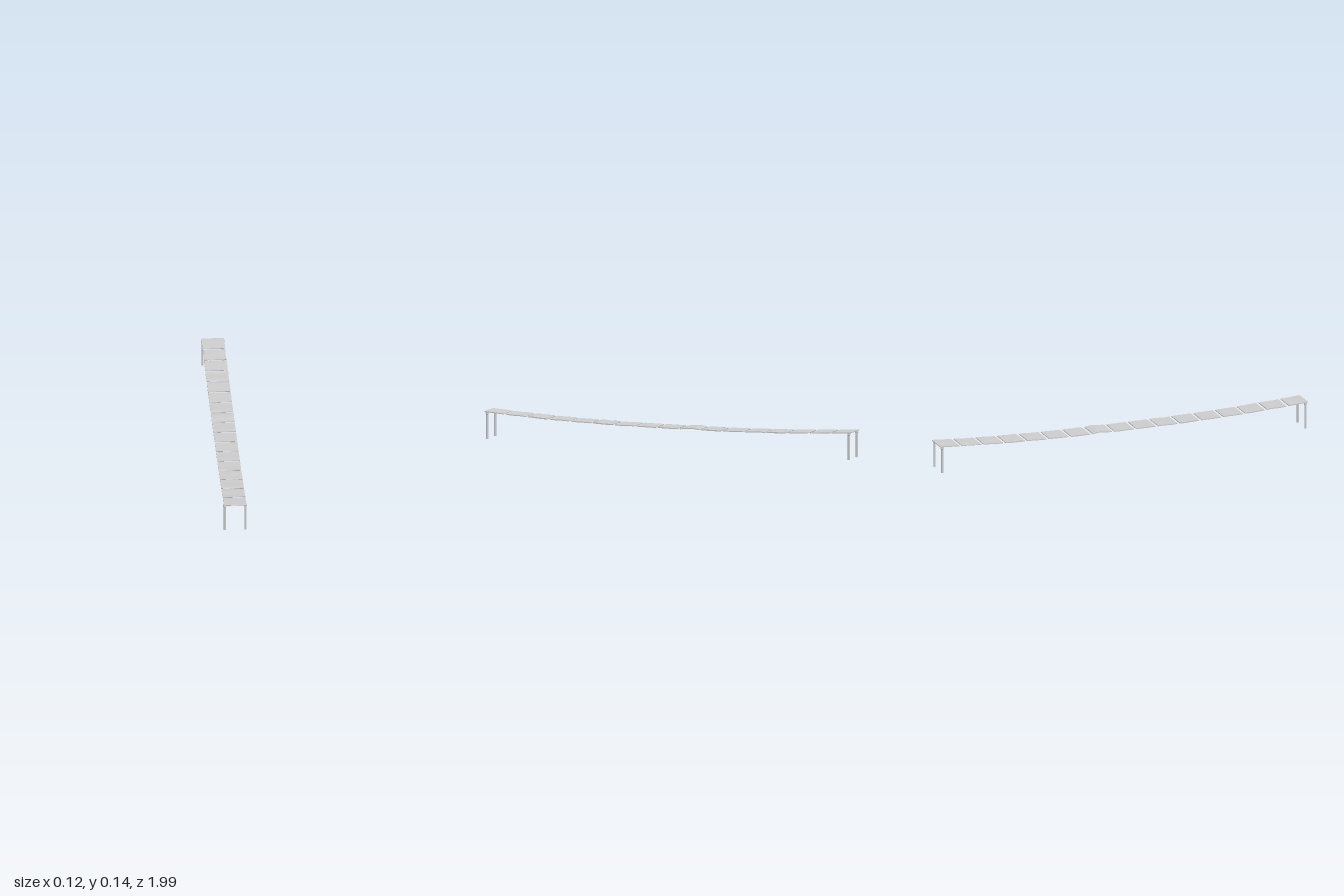
import * as THREE from 'three';
import { toCreasedNormals } from 'three/addons/utils/BufferGeometryUtils.js';

const COUNT = 17, PITCH = 0.1178, LENGTH = 0.105, WIDTH = 0.114, THICK = 0.005;
const material = new THREE.MeshStandardMaterial({ color: 0xcccccc });

// Height of the hanging deck at a given z
const sag = (z) => 0.1085 + 0.031 * Math.pow(Math.abs(z), 2.4);

function add(parent, name, geometry, x = 0, y = 0, z = 0) {
  const mesh = new THREE.Mesh(geometry, material);
  mesh.name = name;
  mesh.position.set(x, y, z);
  parent.add(mesh);
  return mesh;
}

// A thin board following the sag, with a slight warp along its length
function plankGeometry(zc, warp, arch, pinch) {
  const h = THICK / 2, r = 0.0018, l = LENGTH / 2;
  const profile = new THREE.Shape();
  profile.moveTo(-l + r, -h);
  for (let k = 0; k <= 12; k++) profile.lineTo(-l + r + (2 * (l - r) * k) / 12, -h);
  profile.quadraticCurveTo(l, -h, l, 0);
  profile.quadraticCurveTo(l, h, l - r, h);
  for (let k = 1; k <= 12; k++) profile.lineTo(l - r - (2 * (l - r) * k) / 12, h);
  profile.quadraticCurveTo(-l, h, -l, 0);
  profile.quadraticCurveTo(-l, -h, -l + r, -h);
  const g = new THREE.ExtrudeGeometry(profile, { depth: WIDTH, bevelEnabled: false, steps: 2, curveSegments: 3 });
  g.translate(0, 0, -WIDTH / 2);
  g.rotateY(-Math.PI / 2);
  const p = g.attributes.position;
  for (let i = 0; i < p.count; i++) {
    const z = p.getZ(i), t = z / l;
    const bow = Math.cos((t * Math.PI) / 2);
    p.setX(i, p.getX(i) * (1 - pinch * bow));
    p.setY(i, p.getY(i) + sag(zc + z) + warp * Math.sin(t * Math.PI) + arch * bow);
  }
  return toCreasedNormals(g, 0.7);
}

export function createModel() {
  const model = new THREE.Group();
  model.name = 'plankBridge';

  // Row of deck planks
  const deck = new THREE.Group();
  deck.name = 'deck';
  model.add(deck);
  for (let i = 0; i < COUNT; i++) {
    const z = (i - (COUNT - 1) / 2) * PITCH;
    const end = i === 0 || i === COUNT - 1;
    const warp = end ? 0 : 0.0012 * Math.sin(i * 2.3 + 1);
    add(deck, 'plank', plankGeometry(z, warp, i === 7 ? 0.005 : 0, i === 1 ? 0.06 : 0), 0, 0, z);
  }

  // Support posts with rope lashings near the top
  for (const sz of [-1, 1]) {
    for (const sx of [-1, 1]) {
      const post = new THREE.Group();
      post.name = (sz > 0 ? 'front' : 'back') + (sx > 0 ? 'Left' : 'Right') + 'Post';
      post.position.set(sx * 0.0525, 0, sz * 0.982);
      model.add(post);
      add(post, 'pole', new THREE.CylinderGeometry(0.006, 0.006, 0.136, 16), 0, 0.068, 0);
      for (const y of [0.128, 0.135]) {
        add(post, 'lashing', new THREE.TorusGeometry(0.0058, 0.0028, 8, 20).rotateX(Math.PI / 2), 0, y, 0);
      }
    }
  }
  return model;
}
